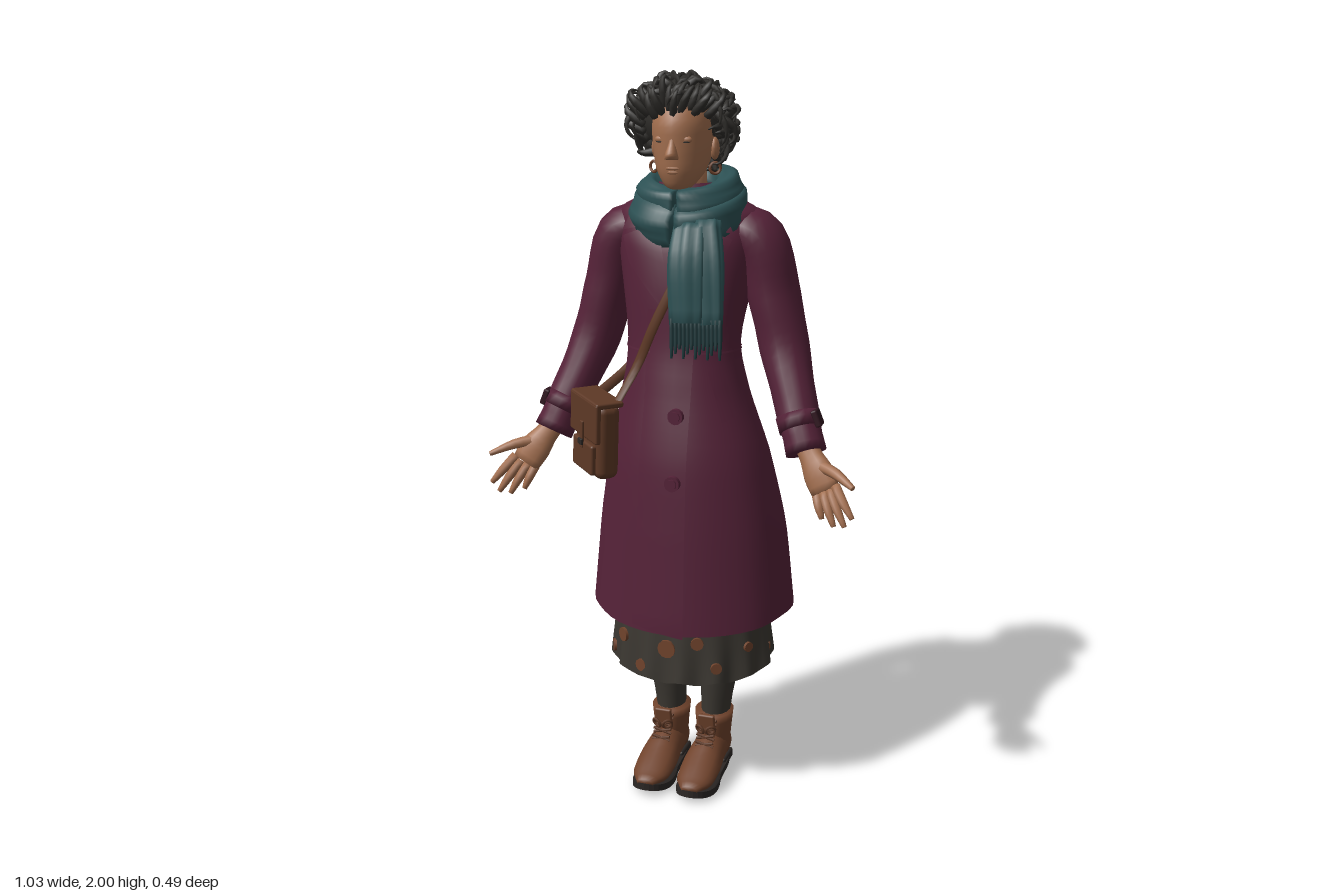
import * as THREE from 'three';
import { mergeGeometries } from 'three/addons/utils/BufferGeometryUtils.js';
import { RoundedBoxGeometry } from 'three/addons/geometries/RoundedBoxGeometry.js';

const V = (x, y, z) => new THREE.Vector3(x, y, z);
const material = (name, color, side = THREE.FrontSide) => Object.assign(new THREE.MeshStandardMaterial({ color, side }), { name });
const TWO = THREE.DoubleSide;

// Smooth curve through [x, y, z, radiusU, radiusV] stations
function spline(pts) {
  const p = new THREE.CatmullRomCurve3(pts.map(q => V(q[0], q[1], q[2])));
  const r = new THREE.CatmullRomCurve3(pts.map(q => V(q[3], q[4], 0)));
  return t => ({ p: p.getPoint(t), d: p.getTangent(t), r: r.getPoint(t) });
}

// Oval tube along stations; radiusU lies towards ref, radiusV across it
function limb(pts, { seg = 10, n = 12, ref = () => V(0, 0, 1), level = false, caps = true, mod = () => 1, dip = () => 0 } = {}) {
  const at = spline(pts), pos = [], idx = [];
  for (let i = 0; i <= seg; i++) {
    const t = i / seg, { p, d, r } = at(t);
    if (level) d.set(0, 1, 0);
    const u = ref(p).clone();
    u.addScaledVector(d, -u.dot(d)).normalize();
    const v = d.clone().cross(u);
    for (let j = 0; j < n; j++) {
      const a = j / n * Math.PI * 2, m = mod(a, t);
      const q = p.clone().addScaledVector(u, Math.cos(a) * r.x * m).addScaledVector(v, Math.sin(a) * r.y * m);
      pos.push(q.x, q.y + dip(a, t), q.z);
      const k = i * n + j, k2 = i * n + (j + 1) % n;
      if (i < seg) idx.push(k, k2, k2 + n, k, k2 + n, k + n);
    }
  }
  if (caps) {
    const a = at(0).p, b = at(1).p, c = pos.length / 3;
    pos.push(a.x, a.y, a.z, b.x, b.y, b.z);
    for (let j = 0; j < n; j++) {
      const k = (j + 1) % n;
      idx.push(c, k, j, c + 1, seg * n + j, seg * n + k);
    }
  }
  const g = new THREE.BufferGeometry();
  g.setAttribute('position', new THREE.Float32BufferAttribute(pos, 3));
  g.setIndex(idx);
  g.computeVertexNormals();
  return g;
}

export function createModel() {
  const model = new THREE.Group();
  const coat = material('burgundy wool', 0x552238, TWO), trim = material('dark burgundy', 0x30161f);
  const teal = material('teal knit', 0x2c5053, TWO), fringeMat = material('dark teal', 0x1d383b);
  const hair = material('black hair', 0x302e2b), skin = material('brown skin', 0xa36f4f);
  const leather = material('tan leather', 0x70432c), sole = material('dark sole', 0x2c2725);
  const cloth = material('charcoal cloth', 0x3b3731, TWO), bagMat = material('bag leather', 0x5e3926);
  const add = (name, geo, mat, parent = model) => {
    const m = new THREE.Mesh(geo, mat);
    m.name = name;
    parent.add(m);
    return m;
  };
  const up = () => V(0, 1, 0);

  // Coat body: flared skirt, narrow waist, sloping shoulders
  const body = [[.02, .56, -.006, .232, .285], [.02, .8, 0, .213, .26], [.015, 1.0, .015, .183, .222], [.005, 1.18, .02, .143, .172],
    [0, 1.3, .02, .122, .155], [0, 1.45, -.008, .142, .176], [0, 1.56, -.022, .138, .195], [0, 1.638, -.028, .108, .2], [0, 1.685, -.02, .085, .125], [0, 1.72, -.01, .07, .075]];
  const folds = (a, t) => {
    const back = Math.max(0, -Math.cos(a)) ** .5, low = Math.max(0, 1 - t * 2.4);
    return 1 + low * (.018 * Math.sin(9 * a) * (1 - Math.max(0, Math.cos(a))) + .06 * back * Math.sin(2 * a) ** 2);
  };
  const hem = (a, t) => Math.max(0, 1 - t * 8) * (-.035 * Math.max(0, Math.cos(a)) + .02 * Math.max(0, -Math.cos(a)));
  add('coatBody', limb(body, { seg: 40, n: 44, level: true, caps: false, mod: folds, dip: hem }), coat);
  add('waistSeam', limb([[0, 1.285, .02, .1255, .1585], [0, 1.29, .02, .1245, .1575]], { seg: 1, n: 40, level: true, caps: false }), coat);

  // Depth of the coat front at a given x, y, used to lay details on it
  const coatAt = spline(body);
  const coatZ = (x, y) => {
    let lo = 0, hi = 1;
    for (let i = 0; i < 24; i++) {
      const m = (lo + hi) / 2;
      if (coatAt(m).p.y < y) lo = m; else hi = m;
    }
    const { p, r } = coatAt(lo);
    return p.z + r.x * Math.sqrt(Math.max(0, 1 - ((x - p.x) / r.y) ** 2));
  };
  const patch = (name, [a, b, c, d], off, { rows = 10, startOff = off } = {}) => {
    const g = new THREE.PlaneGeometry(1, 1, 6, rows), p = g.attributes.position;
    for (let i = 0; i < p.count; i++) {
      const s = p.getX(i) + .5, t = .5 - p.getY(i);
      const f = k => (a[k] * (1 - s) + b[k] * s) * (1 - t) + (d[k] * (1 - s) + c[k] * s) * t;
      p.setXYZ(i, f(0), f(1), coatZ(f(0), f(1)) + startOff + (off - startOff) * s);
    }
    g.computeVertexNormals();
    add(name, g, coat);
  };
  patch('frontOverlap', [[-.08, 1.4], [.066, 1.4], [.066, .523], [-.09, .54]], .014, { rows: 36, startOff: -.001 });
  for (const s of [-1, 1]) {
    const q = list => list.map(([x, y]) => [x * s, y]);
    patch('lapel', q([[.04, 1.625], [.15, 1.583], [.125, 1.518], [-.02, 1.37]]), .018);
    patch('collar', q([[.04, 1.665], [.122, 1.66], [.153, 1.597], [.05, 1.622]]), .022);
    patch('pocketWelt', q([[.102, 1.243], [.132, 1.254], [.174, 1.122], [.144, 1.11]]), .012);
  }
  for (const y of [.955, 1.13])
    for (const [r, h, off] of [[.021, .014, .018], [.014, .006, .027]]) {
      const b = add('button', new THREE.CylinderGeometry(r, r, h, 14), coat);
      b.rotation.x = Math.PI / 2;
      b.position.set(.032, y, coatZ(.032, y) + off);
    }

  for (const s of [-1, 1]) {
    const side = s > 0 ? 'left' : 'right';
    const m = pts => pts.map(([x, ...rest]) => [x * s, ...rest]);
    // Sleeve and strapped cuff
    add(side + 'Sleeve', limb(m([[.1, 1.61, -.03, .07, .05], [.19, 1.575, -.032, .086, .07], [.232, 1.43, -.037, .085, .07],
      [.272, 1.28, -.014, .071, .066], [.325, 1.13, .05, .059, .056], [.36, 1.035, .09, .054, .053]]),
      { seg: 24, n: 18, mod: (a, t) => 1 + .03 * Math.sin(t * 30 + a * 2) * t }), coat);
    add(side + 'CuffStrap', limb(m([[.325, 1.125, .052, .062, .059], [.339, 1.09, .067, .061, .058]]), { seg: 2, n: 18 }), coat);
    const buckle = add(side + 'CuffBuckle', new RoundedBoxGeometry(.018, .046, .04, 1, .005), trim);
    buckle.position.set(s * .384, 1.128, .075);
    buckle.rotation.z = s * .38;

    // Open hand, palm forward
    add(side + 'Palm', limb(m([[.345, 1.075, .078, .028, .03], [.375, 1.03, .1, .027, .032], [.402, .99, .122, .024, .043], [.425, .95, .138, .016, .04]]), { seg: 8 }), skin);
    const fingers = [[.452, .968, .144, .507, .898, .188], [.438, .955, .142, .487, .873, .185],
      [.42, .945, .138, .457, .868, .176], [.4, .94, .132, .422, .88, .16]];
    for (const [a, b, c, d, e, f] of fingers)
      add(side + 'Finger', limb(m([[a, b, c, .014, .014], [(a + d) / 2, (b + e) / 2, (c + f) / 2 + .005, .0125, .0125], [d, e, f, .007, .007]]), { seg: 6, n: 8 }), skin);
    add(side + 'Thumb', limb(m([[.395, 1.012, .112, .017, .019], [.452, 1.003, .15, .014, .016], [.507, .982, .194, .007, .008]]), { seg: 6, n: 8, ref: up }), skin);

    // Leg in tights
    add(side + 'Leg', limb(m([[.068, .1, -.07, .05, .038], [.07, .2, -.068, .054, .043], [.082, .36, -.068, .069, .06], [.09, .62, -.05, .075, .075]]), { level: true, n: 16 }), cloth);

    // Laced ankle boot
    const boot = new THREE.Group();
    boot.name = side + 'Boot';
    boot.position.x = s * .066;
    model.add(boot);
    add('bootFoot', limb([[0, .07, -.13, .03, .025], [0, .068, -.1, .052, .043], [0, .072, -.02, .06, .047], [0, .058, .06, .044, .056], [0, .045, .13, .029, .053], [0, .041, .182, .012, .024]], { seg: 14, n: 16, ref: up }), leather, boot);
    add('bootShaft', limb([[0, .05, -.065, .064, .044], [0, .11, -.062, .066, .048], [0, .183, -.06, .066, .056]], { level: true, n: 18, seg: 6 }), leather, boot);
    const outline = new THREE.Shape();
    outline.moveTo(0, .132);
    outline.bezierCurveTo(.055, .132, .04, .03, .048, -.03);
    outline.bezierCurveTo(.07, -.12, .05, -.185, 0, -.188);
    outline.bezierCurveTo(-.05, -.185, -.07, -.12, -.048, -.03);
    outline.bezierCurveTo(-.04, .03, -.055, .132, 0, .132);
    const soleGeo = new THREE.ExtrudeGeometry(outline, { depth: .02, bevelEnabled: false, curveSegments: 10 }).rotateX(-Math.PI / 2);
    const sp = soleGeo.attributes.position;
    for (let i = 0; i < sp.count; i++) sp.setY(i, sp.getY(i) + 1.3 * Math.max(0, sp.getZ(i) - .06) ** 2);
    soleGeo.computeVertexNormals();
    add('bootSole', soleGeo, sole, boot);
    add('bootHeel', new RoundedBoxGeometry(.08, .03, .085, 1, .006), sole, boot).position.set(0, .015, -.082);
    const tongue = add('bootTongue', new RoundedBoxGeometry(.05, .07, .014, 1, .005), leather, boot);
    tongue.position.set(0, .165, .014);
    tongue.rotation.x = .2;
    for (let i = 0; i < 4; i++)
      for (const d of [-1, 1]) {
        const lace = add('lace', new THREE.CylinderGeometry(.004, .004, .055, 6), bagMat, boot);
        lace.position.set(0, .113 + i * .018, .04 - i * .012);
        lace.rotation.z = Math.PI / 2 + d * .25;
      }
    for (const d of [-1, 1]) {
      const bow = add('laceBow', new THREE.TorusGeometry(.014, .004, 6, 12), bagMat, boot);
      bow.position.set(d * .016, .155, .03);
      bow.rotation.set(.4, d * .5, 0);
    }
  }

  // Pleated skirt with rust spots
  const skirt = [[.012, .365, -.02, .195, .23], [.012, .47, -.018, .185, .222], [.012, .64, -.01, .165, .2]];
  const pleat = (a, t) => 1 + .04 * (1 - t) * Math.sin(14 * a);
  add('skirt', limb(skirt, { seg: 8, n: 112, level: true, caps: false, mod: pleat, dip: (a, t) => (1 - t) * (-.018 * Math.cos(a) + .012 + .006 * Math.sin(14 * a)) }), cloth);
  // Spots as [angle, height, radius]
  const spots = [[-.07, .458, .026], [-.75, .465, .02], [-.42, .395, .018], [.32, .48, .018], [.55, .41, .016], [-1.15, .4, .018], [1, .46, .014],
    [1.6, .42, .012], [2.5, .47, .012], [3.5, .44, .013], [4.3, .48, .012]];
  for (const [a, y, r] of spots) {
    const m = 1.006 + .04 * Math.max(0, 1 - (y - .365) / .27) * Math.sin(14 * a);
    const spot = add('skirtSpot', new THREE.CylinderGeometry(r, r, .008, 12).rotateX(Math.PI / 2), leather);
    spot.position.set(.012 + .226 * m * Math.sin(a), y, -.02 + .191 * m * Math.cos(a));
    spot.rotation.y = Math.atan2(Math.sin(a) / .23, Math.cos(a) / .195);
  }

  // Head, neck and face
  add('neck', limb([[0, 1.6, -.02, .058, .055], [0, 1.76, .0, .058, .052]], { level: true, seg: 3 }), skin);
  add('head', limb([[0, 1.7, .07, .02, .018], [0, 1.718, .06, .046, .04], [0, 1.755, .04, .08, .064], [0, 1.81, .025, .1, .077], [0, 1.87, .018, .108, .081], [0, 1.93, .005, .095, .07], [0, 1.97, 0, .04, .03]], { level: true, seg: 20, n: 24 }), skin);
  add('nose', limb([[0, 1.785, .12, .018, .019], [0, 1.797, .122, .023, .017], [0, 1.825, .116, .014, .01], [0, 1.848, .114, .008, .008]], { level: true, n: 10 }), skin);
  const ball = (name, mat, x, y, z, a, b, c) => {
    const e = add(name, new THREE.SphereGeometry(1, 12, 8), mat);
    e.position.set(x, y, z);
    e.scale.set(a, b, c);
  };
  ball('upperLip', skin, 0, 1.762, .113, .022, .006, .009);
  ball('lowerLip', skin, 0, 1.752, .111, .019, .007, .009);
  for (const s of [-1, 1]) {
    ball('eyelid', skin, s * .034, 1.834, .108, .016, .01, .009);
    ball('lashLine', hair, s * .034, 1.828, .1125, .012, .002, .006);
    ball('ear', skin, s * .08, 1.808, .01, .012, .03, .02);
    const hoop = add('earring', new THREE.TorusGeometry(.014, .004, 6, 14), leather);
    hoop.position.set(s * .084, 1.758, .02);
    hoop.rotation.y = s * .5;
  }

  // Hair: rounded cap covered in tousled curls, swept up off the forehead
  let seed = 7;
  const rnd = () => (seed = seed * 16807 % 2147483647) / 2147483647;
  ball('hairCap', hair, -.01, 1.88, -.02, .112, .098, .108);
  const curls = [];
  for (let i = 0; i < 330; i++) {
    const y = 1 - 2 * (i + .5) / 330, a = i * 2.39996, h = Math.sqrt(1 - y * y);
    const d = V(h * Math.sin(a), y, h * Math.cos(a));
    if (y < -.85 || (d.z > .12 && y < .12 && Math.abs(d.x) < .88) || (d.z > .55 && y < .3)) continue;
    const root = V(-.01 + d.x * .104, 1.874 + d.y * .088, -.004 + d.z * .106);
    const brow = d.z > .4 && y < .6;
    const side = brow ? V(d.x + .5 * rnd() - .25, .7, 0).projectOnPlane(d).normalize()
      : V(rnd() - .5, rnd() - .7, rnd() - .5).cross(d).normalize();
    const drop = V(0, brow ? 0 : -.014, 0);
    const st = (k, w, f, r) => { const p = root.clone().addScaledVector(d, k).addScaledVector(side, w).addScaledVector(drop, f); return [p.x, p.y, p.z, r, r * .7]; };
    const k = .55 + rnd() * .75 + (brow ? .3 : 0);
    curls.push(limb([st(0, -.016, 0, .014), st(.022 * k, .004, 0, .015), st(.036 * k, .026, .4, .01), st(.03 * k, .046, 1.2, .005), st(.014 * k, .05, 1.9, .002)],
      { seg: 7, n: 6, ref: () => V(.31, .52, .79) }));
  }
  add('hairCurls', mergeGeometries(curls), hair);

  // Scarf: two folded loops, two hanging ends and a fringe
  const loop = (r, yb, yf, zf, thick, ph) => {
    const pts = [];
    for (let i = 0; i <= 16; i++) {
      const a = i / 16 * Math.PI * 2, f = (1 + Math.cos(a)) / 2;
      pts.push([.008 + r * Math.sin(a), yb + (yf - yb) * f, -.1 + (zf + .1) * f, thick * (1 + .15 * f), .037]);
    }
    return limb(pts, { seg: 48, n: 20, ref: up, mod: (a, t) => 1 + .11 * Math.cos(5 * a + ph + Math.sin(t * 6.283) * 2) });
  };
  add('scarfLowerLoop', loop(.121, 1.695, 1.612, .112, .046, 0), teal);
  add('scarfUpperLoop', loop(.104, 1.728, 1.668, .092, .037, 2), teal);
  const ridges = (a, t) => 1 + .1 * Math.cos(7 * a + t);
  add('scarfEnd', limb([[.05, 1.62, .125, .024, .045], [.055, 1.54, .166, .026, .05], [.062, 1.38, .19, .016, .044]], { n: 28, mod: ridges }), teal);
  add('scarfEnd', limb([[.08, 1.63, .115, .024, .045], [.095, 1.53, .15, .024, .05], [.11, 1.375, .176, .016, .043]], { n: 28, mod: ridges }), teal);
  for (let i = 0; i < 13; i++) {
    const x = .022 + i * .0105, z = .19 - .012 * i / 12;
    add('scarfFringe', limb([[x, 1.39, z, .009, .006], [x + .002, 1.34, z + .006, .007, .006], [x + .003, 1.288 + .012 * (i % 3), z + .012, .004, .003]], { seg: 4, n: 6 }), fringeMat);
  }

  // Satchel on the right hip
  const bag = new THREE.Group();
  bag.name = 'satchel';
  bag.position.set(-.203, 1.056, .155);
  bag.rotation.set(0, -.75, -.08);
  model.add(bag);
  const box = (name, w, h, d, x, y, z, mat = bagMat) => add(name, new RoundedBoxGeometry(w, h, d, 2, Math.min(w, h, d) * .35), mat, bag).position.set(x, y, z);
  box('bagBody', .158, .21, .066, 0, -.005, 0);
  box('bagFlap', .164, .11, .016, 0, .052, .036);
  box('bagTop', .164, .016, .08, 0, .102, .003);
  box('bagPocket', .12, .085, .02, 0, -.055, .036);
  box('bagTab', .016, .075, .008, 0, .005, .046);
  box('bagBuckle', .022, .018, .008, 0, -.015, .05, sole);
  // Shoulder strap across the chest and back
  const front = [[-.09, 1.25], [-.04, 1.36], [.01, 1.46], [.06, 1.56]].map(([x, y]) => [x, y, coatZ(x, y) + .018]);
  const strap = [[-.14, 1.14, .19], ...front, [.1, 1.655, .065], [.115, 1.69, -.02], [.105, 1.655, -.1], [.045, 1.56, -.164], [-.03, 1.44, -.152], [-.1, 1.315, -.096], [-.172, 1.21, -.035], [-.235, 1.14, .085]];
  add('bagStrap', limb(strap.map(p => [...p, .006, .014]), { seg: 60, n: 8, ref: p => V(p.x, (p.y - 1.4) * .7, p.z) }), bagMat);
  return model;
}
